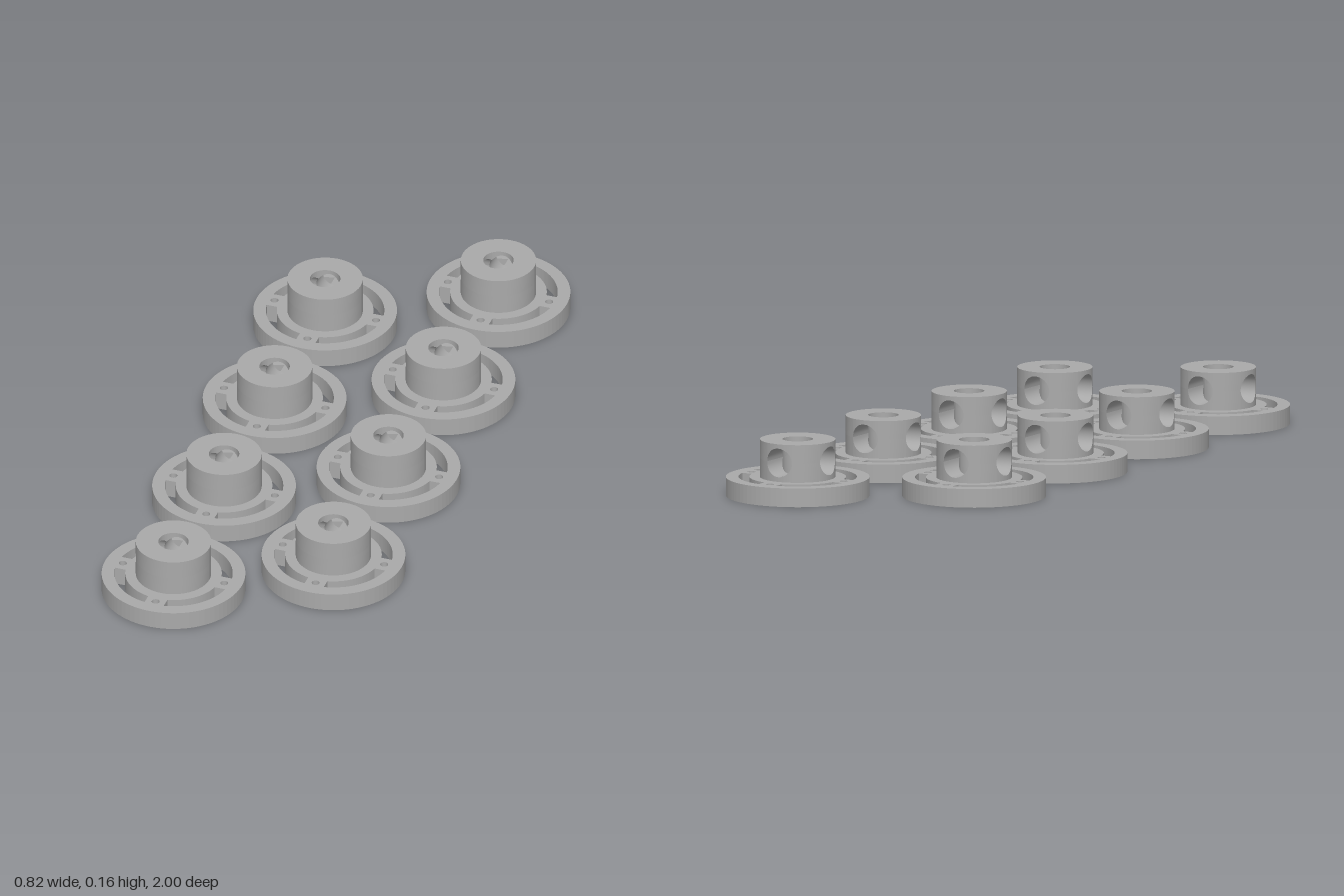
import * as THREE from 'three';
import { mergeGeometries } from 'three/addons/utils/BufferGeometryUtils.js';

const FLANGE_R = 0.198, FLANGE_H = 0.052;
const HUB_R = 0.104, HUB_TOP = 0.157, BORE_R = 0.042;
const SCREW_R = 0.04, SCREW_Y = 0.105;
const SCREW_ANGLES = [Math.PI, Math.PI * 1.5]; // set-screw holes face -x and -z

// Ribbon between pairs of points [a, b]
function strip(pairs, flip = false) {
  const index = [];
  for (let i = 0; i < pairs.length - 1; i++) {
    const a = 2 * i, b = a + 1, c = a + 2, d = a + 3;
    index.push(...(flip ? [a, b, c, c, b, d] : [a, c, b, c, d, b]));
  }
  const g = new THREE.BufferGeometry();
  g.setAttribute('position', new THREE.Float32BufferAttribute(pairs.flat(2), 3));
  g.setIndex(index);
  g.computeVertexNormals();
  return g;
}

// Cylinder wall pierced by the set-screw holes
function piercedWall(radius, outward) {
  const angles = [];
  for (let i = 0; i <= 48; i++) angles.push((i / 48) * Math.PI * 2);
  for (const c of SCREW_ANGLES) {
    for (let i = 0; i <= 16; i++) {
      angles.push(c + Math.asin((SCREW_R * Math.cos((i / 16) * Math.PI)) / radius));
    }
  }
  angles.sort((a, b) => a - b);
  const halfGap = (phi) => Math.max(...SCREW_ANGLES.map((c) => {
    if (Math.cos(phi - c) <= 0) return 0;
    return Math.sqrt(Math.max(0, SCREW_R ** 2 - (radius * Math.sin(phi - c)) ** 2));
  }));
  const at = (phi, y) => [radius * Math.cos(phi), y, radius * Math.sin(phi)];
  const lower = angles.map((p) => [at(p, FLANGE_H), at(p, SCREW_Y - halfGap(p))]);
  const upper = angles.map((p) => [at(p, SCREW_Y + halfGap(p)), at(p, HUB_TOP)]);
  return mergeGeometries([strip(lower, outward), strip(upper, outward)]);
}

// Tunnel from the outer wall to the bore, mitred where the two tunnels meet
function screwTunnel(phi, otherSide) {
  const c = Math.cos(phi), s = Math.sin(phi), pairs = [];
  for (let i = 0; i <= 32; i++) {
    const t = (i / 32) * Math.PI * 2;
    const a = SCREW_R * Math.cos(t), y = SCREW_Y + SCREW_R * Math.sin(t);
    const at = (d) => [c * d - s * a, y, s * d + c * a];
    const inner = Math.max(Math.sqrt(BORE_R ** 2 - a * a), a * otherSide);
    pairs.push([at(inner), at(Math.sqrt(HUB_R ** 2 - a * a))]);
  }
  return strip(pairs);
}

// Flange with four curved slots, four bolt holes and the bore
function flangeGeometry() {
  const rIn = 0.133, rOut = 0.163, half = 0.028;
  const shape = new THREE.Shape();
  shape.absarc(0, 0, FLANGE_R, 0, Math.PI * 2);
  const circle = (x, y, r) => {
    const p = new THREE.Path();
    p.absarc(x, y, r, 0, Math.PI * 2, true);
    shape.holes.push(p);
  };
  circle(0, 0, BORE_R);
  const aIn = Math.asin(half / rIn), aOut = Math.asin(half / rOut);
  for (let i = 0; i < 4; i++) {
    const q = (i * Math.PI) / 2, e = q + Math.PI / 2;
    circle(0.148 * Math.cos(q), 0.148 * Math.sin(q), 0.011);
    const slot = new THREE.Path();
    slot.absarc(0, 0, rOut, q + aOut, e - aOut, false);
    slot.absarc(0, 0, rIn, e - aIn, q + aIn, true);
    slot.closePath();
    shape.holes.push(slot);
  }
  const g = new THREE.ExtrudeGeometry(shape, { depth: FLANGE_H, bevelEnabled: false, curveSegments: 40 });
  return g.rotateX(-Math.PI / 2);
}

export function createModel() {
  const model = new THREE.Group();
  model.name = 'flangedHubs';
  const grey = new THREE.MeshStandardMaterial({ color: 0xaaaaaa });
  grey.name = 'plainGrey';

  const parts = {
    flange: flangeGeometry(),
    hubWall: piercedWall(HUB_R, true),
    hubBore: piercedWall(BORE_R, false),
    hubTop: new THREE.RingGeometry(BORE_R, HUB_R, 48).rotateX(-Math.PI / 2).translate(0, HUB_TOP, 0),
    screwHoleSide: screwTunnel(SCREW_ANGLES[0], 1),
    screwHoleBack: screwTunnel(SCREW_ANGLES[1], -1),
  };

  // Two staggered columns of hubs, the left one slightly slanted
  const places = [];
  for (let i = 0; i < 4; i++) {
    places.push([0.209, -0.802 + i * 0.457]);
    places.push([-0.211 + i * 0.0117, -0.558 + i * 0.4533]);
  }
  places.forEach(([x, z], i) => {
    const hub = new THREE.Group();
    hub.name = `hub${i + 1}`;
    for (const [name, geometry] of Object.entries(parts)) {
      const mesh = new THREE.Mesh(geometry, grey);
      mesh.name = name;
      hub.add(mesh);
    }
    hub.position.set(x, 0, z);
    model.add(hub);
  });
  return model;
}
